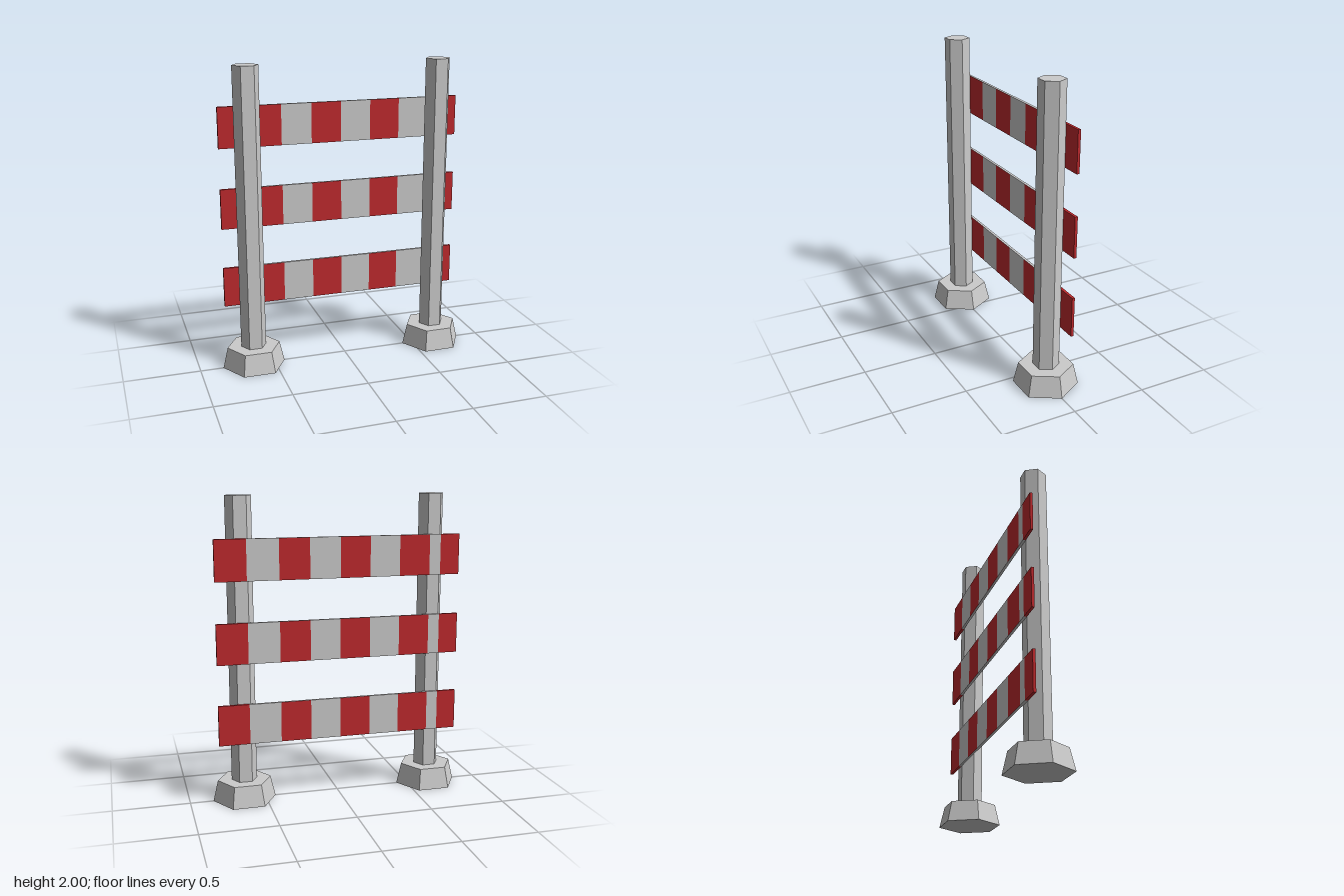
import * as THREE from 'three';

const grey = new THREE.MeshStandardMaterial({ color: 0xcccccc, flatShading: true });
const red = new THREE.MeshStandardMaterial({ color: 0xc02a2e, flatShading: true });

// Stripe edges along a board, alternating red and grey from the first
const CUTS = [-0.81, -0.68, -0.605, -0.4, -0.2, 0, 0.2, 0.4, 0.607, 0.81];
const STRIPES = CUTS.length - 1;

// Six-sided prism with a corner pointing along x
function hexPrism(name, topRadius, bottomRadius, y0, y1) {
  const geometry = new THREE.CylinderGeometry(topRadius, bottomRadius, y1 - y0, 6);
  geometry.rotateY(Math.PI / 6);
  const mesh = new THREE.Mesh(geometry, grey);
  mesh.name = name;
  mesh.position.y = (y0 + y1) / 2;
  return mesh;
}

// Thin board: striped faces, grey top and bottom edges, red ends
function boardGeometry() {
  const geometry = new THREE.BoxGeometry(STRIPES, 0.266, 0.018, STRIPES, 1, 1);
  const pos = geometry.attributes.position;
  for (let i = 0; i < pos.count; i++) {
    pos.setX(i, CUTS[Math.round(pos.getX(i) + STRIPES / 2)]);
  }
  // One material group per quad
  const index = geometry.index;
  const normal = geometry.attributes.normal;
  geometry.clearGroups();
  for (let q = 0; q < index.count; q += 6) {
    const a = index.getX(q);
    let x = 0;
    for (let k = 0; k < 6; k++) x += pos.getX(index.getX(q + k)) / 6;
    let stripe = 0;
    while (stripe < STRIPES - 1 && x > CUTS[stripe + 1]) stripe++;
    const onEdge = Math.abs(normal.getY(a)) > 0.5;
    const isEnd = stripe === 0 || stripe === STRIPES - 1;
    const isRed = onEdge ? isEnd : stripe % 2 === 0;
    geometry.addGroup(q, 6, isRed ? 1 : 0);
  }
  return geometry;
}

export function createModel() {
  const model = new THREE.Group();
  model.name = 'barrier';

  // Posts on tapered feet
  for (const side of [-1, 1]) {
    const support = new THREE.Group();
    support.name = side > 0 ? 'leftSupport' : 'rightSupport';
    support.position.x = side * 0.639;
    support.add(hexPrism('foot', 0.176, 0.209, 0, 0.14));
    support.add(hexPrism('post', 0.084, 0.084, 0.14, 2));
    model.add(support);
  }

  // Three boards fixed to the back of the posts
  const geometry = boardGeometry();
  [['lowerBoard', 0.539], ['middleBoard', 1.072], ['upperBoard', 1.603]].forEach(([name, y]) => {
    const board = new THREE.Mesh(geometry, [grey, red]);
    board.name = name;
    board.position.set(0, y, -0.083);
    model.add(board);
  });

  return model;
}
